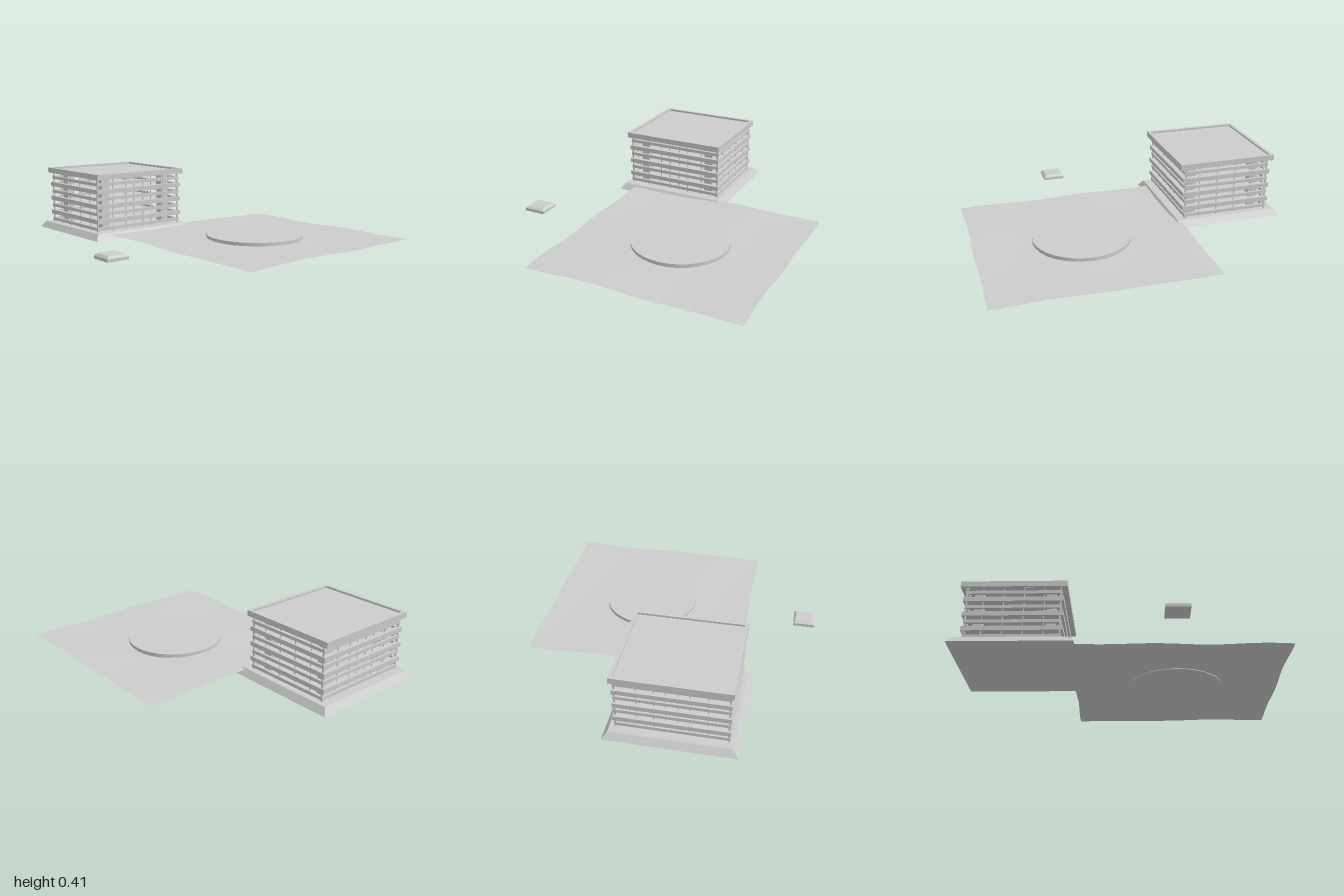
import * as THREE from 'three';

const grey = new THREE.MeshStandardMaterial({ color: 0xcccccc });
const sheet = new THREE.MeshStandardMaterial({ color: 0xcccccc, side: THREE.DoubleSide });

function add(parent, name, geometry, x, y, z, material = grey) {
  const mesh = new THREE.Mesh(geometry, material);
  mesh.name = name;
  mesh.position.set(x, y, z);
  parent.add(mesh);
  return mesh;
}

const box = (parent, name, w, h, d, x, y, z) =>
  add(parent, name, new THREE.BoxGeometry(w, h, d), x, y, z);

// Box whose top face is pulled in on every side
function taperedBox(w, h, d, inset) {
  const g = new THREE.BoxGeometry(w, h, d);
  const p = g.attributes.position;
  for (let i = 0; i < p.count; i++) {
    if (p.getY(i) > 0) {
      p.setX(i, p.getX(i) - Math.sign(p.getX(i)) * inset);
      p.setZ(i, p.getZ(i) - Math.sign(p.getZ(i)) * inset);
    }
  }
  g.computeVertexNormals();
  return g;
}

// Flat rectangular frame lying in the xz plane, from y = 0 to y = h
function frame(w, d, wall, h) {
  const rect = (Type, a, b) => new Type([
    new THREE.Vector2(-a, -b), new THREE.Vector2(a, -b),
    new THREE.Vector2(a, b), new THREE.Vector2(-a, b),
  ]);
  const s = rect(THREE.Shape, w / 2, d / 2);
  s.holes.push(rect(THREE.Path, w / 2 - wall, d / 2 - wall));
  return new THREE.ExtrudeGeometry(s, { depth: h, bevelEnabled: false }).rotateX(-Math.PI / 2);
}

function createBuilding() {
  const b = new THREE.Group();
  b.name = 'building';
  b.position.set(-0.167, 0, -0.637);

  // Sloped plinth
  add(b, 'plinth', taperedBox(0.765, 0.04, 0.725, 0.03), 0, 0.02, 0);

  // Floor slabs, with railing bands halfway between them
  for (let i = 0; i < 3; i++) {
    const y = 0.108 + i * 0.095;
    box(b, 'floorSlab', 0.64, 0.012, 0.56, 0, y - 0.006, 0);
    add(b, 'slabEdge', frame(0.66, 0.59, 0.025, 0.028), 0, y - 0.014, 0);
  }
  for (let i = 0; i < 4; i++) {
    add(b, 'railingBand', frame(0.652, 0.568, 0.016, 0.02), 0, 0.05 + i * 0.095, 0);
  }

  // Main columns and slim corner posts
  for (const sx of [-1, 1]) {
    for (const sz of [-1, 1]) {
      box(b, 'column', 0.055, 0.34, 0.055, sx * 0.237, 0.21, sz * 0.215);
      box(b, 'cornerPost', 0.01, 0.34, 0.01, sx * 0.318, 0.21, sz * 0.276);
    }
  }

  // Window mullions along all four sides
  for (const s of [-1, 1]) {
    for (const x of [-0.2, -0.1, -0.035, 0.035, 0.1, 0.2]) {
      box(b, 'mullion', 0.005, 0.34, 0.005, x, 0.21, s * 0.272);
    }
    for (const z of [-0.18, -0.06, 0.06, 0.18]) {
      box(b, 'mullion', 0.005, 0.34, 0.005, s * 0.314, 0.21, z);
    }
  }

  // Roof slab with a low parapet
  box(b, 'roof', 0.64, 0.023, 0.59, 0, 0.387, 0);
  add(b, 'parapet', frame(0.678, 0.63, 0.022, 0.035), 0, 0.376, 0);
  return b;
}

// Gently rolling ground sheet with slightly uneven edges
function groundGeometry() {
  const g = new THREE.PlaneGeometry(1.315, 1.31, 24, 24).rotateX(-Math.PI / 2);
  const p = g.attributes.position;
  for (let i = 0; i < p.count; i++) {
    const x = p.getX(i), z = p.getZ(i);
    const y = 0.029 + 0.004 * Math.sin(7 * x + 2 * z + 2) + 0.003 * Math.cos(9 * z - 3 * x);
    p.setXYZ(i, x + 0.005 * Math.sin(11 * z + x), y, z + 0.004 * Math.sin(10 * x + 2 * z));
  }
  g.computeVertexNormals();
  return g;
}

export function createModel() {
  const model = new THREE.Group();
  model.name = 'site';
  model.add(createBuilding());

  add(model, 'ground', groundGeometry(), 0.22, 0, 0.332, sheet);
  add(model, 'roundPlatform', new THREE.CylinderGeometry(0.3, 0.3, 0.025, 32), 0.22, 0.0375, 0.332);

  // Small separate block with a chamfered top
  const block = new THREE.Group();
  block.name = 'smallBlock';
  block.position.set(-0.818, 0, 0.298);
  box(block, 'blockBase', 0.137, 0.018, 0.137, 0, 0.038, 0);
  add(block, 'blockTop', taperedBox(0.137, 0.013, 0.137, 0.014), 0, 0.0535, 0);
  model.add(block);
  return model;
}
